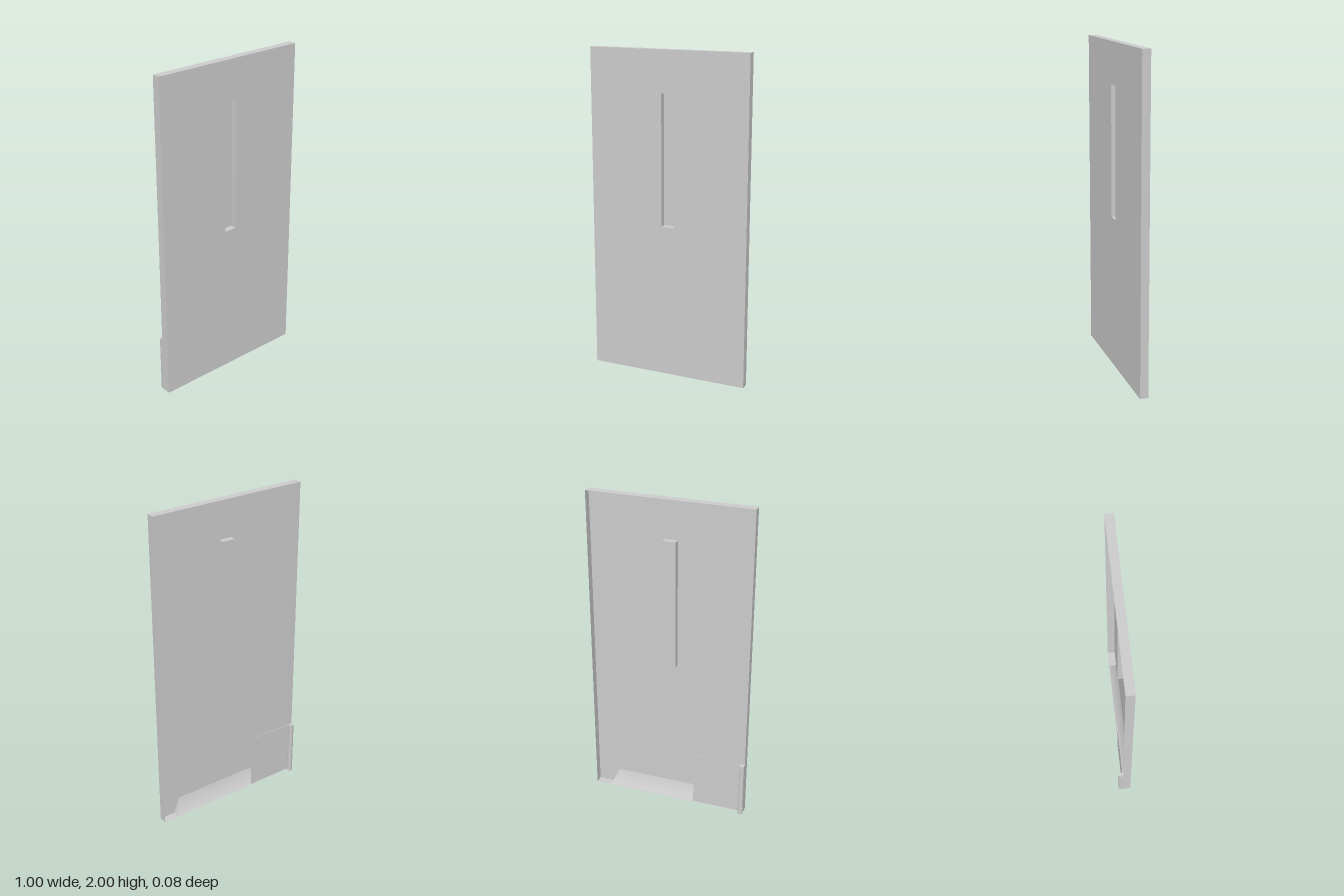
import * as THREE from 'three';
import { toCreasedNormals } from 'three/addons/utils/BufferGeometryUtils.js';

const material = new THREE.MeshStandardMaterial({ color: 0xcccccc, side: THREE.DoubleSide });

const FRONT = 0.038, BACK = -0.012;

function addMesh(group, name, geometry) {
  const mesh = new THREE.Mesh(geometry, material);
  mesh.name = name;
  group.add(mesh);
  return mesh;
}

// Thin-walled box without its front; the back is optional
function openBox(w, h, y, zFront, zBack, withBack) {
  const geometry = new THREE.BoxGeometry(w, h, zFront - zBack);
  const index = Array.from(geometry.index.array);
  geometry.setIndex([...index.slice(0, 24), ...(withBack ? index.slice(30, 36) : [])]);
  geometry.clearGroups();
  return geometry.translate(0, y, (zFront + zBack) / 2);
}

function rectPath(path, x0, y0, x1, y1) {
  path.moveTo(x0, y0);
  path.lineTo(x1, y0);
  path.lineTo(x1, y1);
  path.lineTo(x0, y1);
  path.closePath();
  return path;
}

export function createModel() {
  const group = new THREE.Group();
  group.name = 'slidingPanel';

  // Front sheet with the handle opening
  const sheet = rectPath(new THREE.Shape(), -0.5, 0, 0.5, 2);
  sheet.holes.push(rectPath(new THREE.Path(), -0.04, 0.95, 0.04, 1.75));
  addMesh(group, 'frontSheet', new THREE.ShapeGeometry(sheet).translate(0, 0, FRONT));

  // Folded rim, open at the back
  addMesh(group, 'rim', openBox(1, 2, 1, FRONT, BACK, false));

  // Recessed handle pocket
  addMesh(group, 'handlePocket', openBox(0.08, 0.8, 1.35, FRONT, 0, true));

  // Sloped fillet along the bottom, its ends leaning inward
  const profile = new THREE.Shape();
  profile.moveTo(-FRONT, 0.002);
  profile.lineTo(-BACK - 0.002, 0.002);
  profile.quadraticCurveTo(-0.022, 0.045, -FRONT, 0.1);
  profile.closePath();
  const ramp = new THREE.ExtrudeGeometry(profile, { depth: 0.8, bevelEnabled: false, curveSegments: 8 });
  ramp.translate(0, 0, -0.4).rotateY(Math.PI / 2);
  const p = ramp.attributes.position;
  for (let i = 0; i < p.count; i++) {
    p.setXYZ(i, p.getX(i) * (1 - p.getY(i)), p.getY(i), -p.getZ(i) * -1);
  }
  addMesh(group, 'bottomFillet', toCreasedNormals(ramp, 0.5));

  // Thin plate at the lower back corner
  addMesh(group, 'cornerPlate', new THREE.BoxGeometry(0.33, 0.35, 0.003).translate(-0.335, 0.185, -0.0135));

  // Upright guide strip with a rounded section
  const strip = new THREE.Shape();
  strip.moveTo(-0.5, 0.016);
  strip.quadraticCurveTo(-0.4995, 0.012, -0.493, 0.012);
  strip.lineTo(-0.479, 0.012);
  strip.quadraticCurveTo(-0.472, 0.012, -0.472, 0.016);
  strip.lineTo(-0.472, 0.034);
  strip.quadraticCurveTo(-0.474, 0.039, -0.486, 0.039);
  strip.quadraticCurveTo(-0.498, 0.039, -0.5, 0.034);
  strip.closePath();
  const guide = new THREE.ExtrudeGeometry(strip, { depth: 0.36, bevelEnabled: false, curveSegments: 5 });
  addMesh(group, 'guideStrip', toCreasedNormals(guide.rotateX(-Math.PI / 2), 0.6));

  return group;
}
